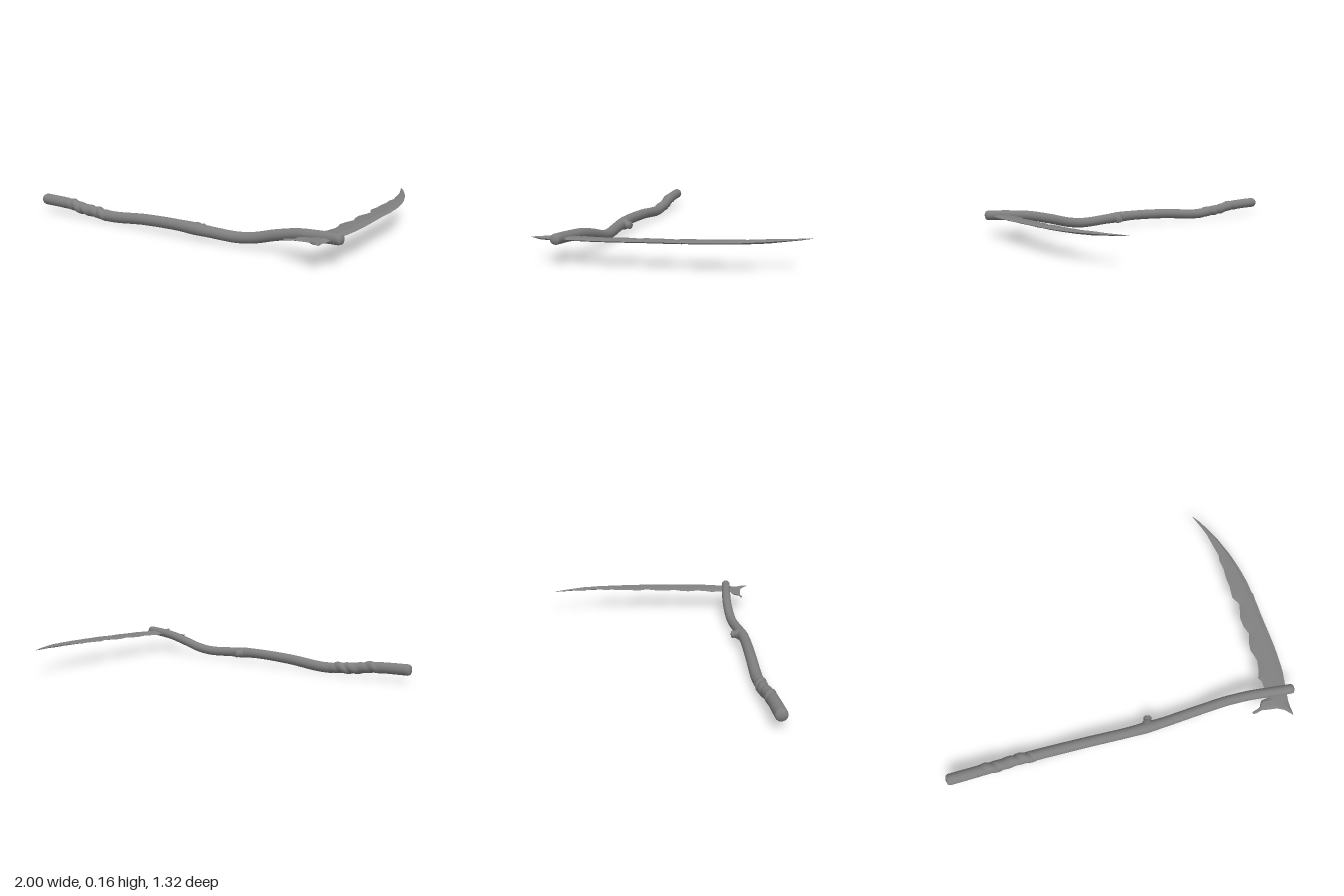
import * as THREE from 'three';
import { mergeVertices } from 'three/addons/utils/BufferGeometryUtils.js';

const material = new THREE.MeshStandardMaterial({ color: 0x808080 });

function addMesh(group, name, geometry) {
  const mesh = new THREE.Mesh(geometry, material);
  mesh.name = name;
  group.add(mesh);
  return mesh;
}

// Bent round shaft with rounded ends and a lumpy spiral binding at the grip
function shaftGeometry() {
  const path = new THREE.CatmullRomCurve3([
    [-1, 0.08, 0.565], [-0.8, 0.073, 0.553], [-0.65, 0.055, 0.54], [-0.47, 0.038, 0.53],
    [-0.2, 0.058, 0.53], [0.05, 0.064, 0.53], [0.22, 0.057, 0.52], [0.4, 0.05, 0.5],
    [0.5, 0.062, 0.492], [0.62, 0.093, 0.488], [0.75, 0.12, 0.493], [0.86, 0.13, 0.503], [1, 0.138, 0.515],
  ].map(p => new THREE.Vector3(...p)), false, 'centripetal');
  const segments = 240, sides = 16;
  const geometry = new THREE.TubeGeometry(path, segments, 1, sides);
  const pos = geometry.attributes.position, v = new THREE.Vector3();
  for (let i = 0; i <= segments; i++) {
    const center = path.getPointAt(i / segments), x = center.x;
    const end = Math.min(i, segments - i);
    const cap = end < 3 ? [0, 0.82, 0.96][end] : 1;
    const wrap = THREE.MathUtils.smoothstep(x, -0.84, -0.76) * (1 - THREE.MathUtils.smoothstep(x, -0.53, -0.48));
    const base = THREE.MathUtils.lerp(0.0325, 0.0275, (x + 1) / 2);
    const knot = 0.003 * Math.exp(-(((x - 0.14) / 0.06) ** 2));
    for (let j = 0; j <= sides; j++) {
      const k = i * (sides + 1) + j, a = (j / sides) * Math.PI * 2;
      const lump = 0.7 + 0.5 * Math.sin(x * 31 + a);
      const ridge = wrap * 0.007 * (Math.abs(Math.sin(x * 48 + a)) * lump - 0.35);
      v.fromBufferAttribute(pos, k).sub(center).multiplyScalar((base + knot + ridge) * cap).add(center);
      pos.setXYZ(k, v.x, v.y, v.z);
    }
  }
  geometry.deleteAttribute('uv');
  geometry.deleteAttribute('normal');
  const merged = mergeVertices(geometry, 1e-5);
  merged.computeVertexNormals();
  return merged;
}

// Height of the blade's middle plane, curling up slightly at the heel point
function plateHeight(x, z) {
  const tilt = 0.07 * Math.min(1, Math.max(0, 1 + z * 2));
  const curl = 0.008 * THREE.MathUtils.smoothstep(z, 0.59, 0.655);
  return 0.127 + (0.5 - z) * 0.025 + (x - 0.89) * tilt + curl;
}

// Thin bevelled plate lofted between two edges; rows are [ax, az, bx, bz]
function plateGeometry(rows, thickness) {
  const section = [[0, 0], [0.3, 0.8], [0.75, 1], [1, 0], [0.75, -1], [0.3, -0.8]];
  const n = section.length, points = [], index = [];
  rows.forEach(([ax, az, bx, bz], i) => {
    const half = Math.min(thickness / 2, Math.hypot(bx - ax, bz - az) * 0.2);
    section.forEach(([s, h], j) => {
      const x = THREE.MathUtils.lerp(ax, bx, s), z = THREE.MathUtils.lerp(az, bz, s);
      points.push(x, plateHeight(x, z) + h * half, z);
      if (i < rows.length - 1) {
        const a = i * n + j, b = i * n + ((j + 1) % n);
        index.push(a, a + n, b, b, a + n, b + n);
      }
    });
  });
  // Close both ends
  const last = (rows.length - 1) * n;
  for (let j = 1; j < n - 1; j++) index.push(0, j, j + 1, last, last + j + 1, last + j);
  const geometry = new THREE.BufferGeometry();
  geometry.setAttribute('position', new THREE.Float32BufferAttribute(points, 3));
  geometry.setIndex(index);
  const flat = geometry.toNonIndexed();
  flat.computeVertexNormals();
  return flat;
}

export function createModel() {
  const group = new THREE.Group();
  group.name = 'scythe';
  addMesh(group, 'shaft', shaftGeometry());

  // Stub of a cut branch, wide where it grows out of the shaft
  const stub = addMesh(group, 'branchStub', new THREE.LatheGeometry([
    [0.034, 0], [0.031, 0.025], [0.023, 0.036], [0.021, 0.046], [0.023, 0.056], [0.018, 0.063], [0, 0.064],
  ].map(p => new THREE.Vector2(...p)), 14));
  stub.position.set(0.15, 0.061, 0.524);
  stub.quaternion.setFromUnitVectors(new THREE.Vector3(0, 1, 0), new THREE.Vector3(0.25, -0.1, -1).normalize());

  // Curved blade with a worn, scalloped cutting edge: [z, inner x, outer x]
  const blade = [
    [-0.663, 0.735, 0.739], [-0.62, 0.752, 0.769], [-0.57, 0.772, 0.797], [-0.53, 0.786, 0.818],
    [-0.48, 0.797, 0.843], [-0.43, 0.807, 0.862], [-0.38, 0.819, 0.882], [-0.34, 0.814, 0.895],
    [-0.28, 0.823, 0.911], [-0.23, 0.82, 0.922], [-0.17, 0.826, 0.934], [-0.1, 0.821, 0.94],
    [-0.09, 0.826, 0.946], [-0.05, 0.849, 0.946], [-0.01, 0.841, 0.949], [0.04, 0.829, 0.951],
    [0.09, 0.833, 0.955], [0.14, 0.851, 0.959], [0.19, 0.835, 0.963], [0.24, 0.829, 0.967],
    [0.28, 0.842, 0.968], [0.31, 0.848, 0.969], [0.36, 0.84, 0.969], [0.41, 0.823, 0.967],
    [0.43, 0.837, 0.964], [0.49, 0.84, 0.956], [0.53, 0.833, 0.951], [0.58, 0.84, 0.945],
    [0.605, 0.88, 0.945], [0.62, 0.909, 0.946], [0.658, 0.944, 0.947],
  ];
  addMesh(group, 'blade', plateGeometry(blade.map(([z, inner, outer]) => [inner, z, outer, z]), 0.018));

  // Hooked spur at the heel of the blade: [x, back z, front z]
  const spur = [
    [0.736, 0.587, 0.601], [0.76, 0.581, 0.599], [0.782, 0.572, 0.592], [0.795, 0.545, 0.591],
    [0.805, 0.535, 0.594], [0.84, 0.53, 0.598], [0.875, 0.525, 0.602], [0.905, 0.52, 0.613],
  ];
  addMesh(group, 'spur', plateGeometry(spur.map(([x, back, front]) => [x, front, x, back]), 0.016));
  return group;
}
